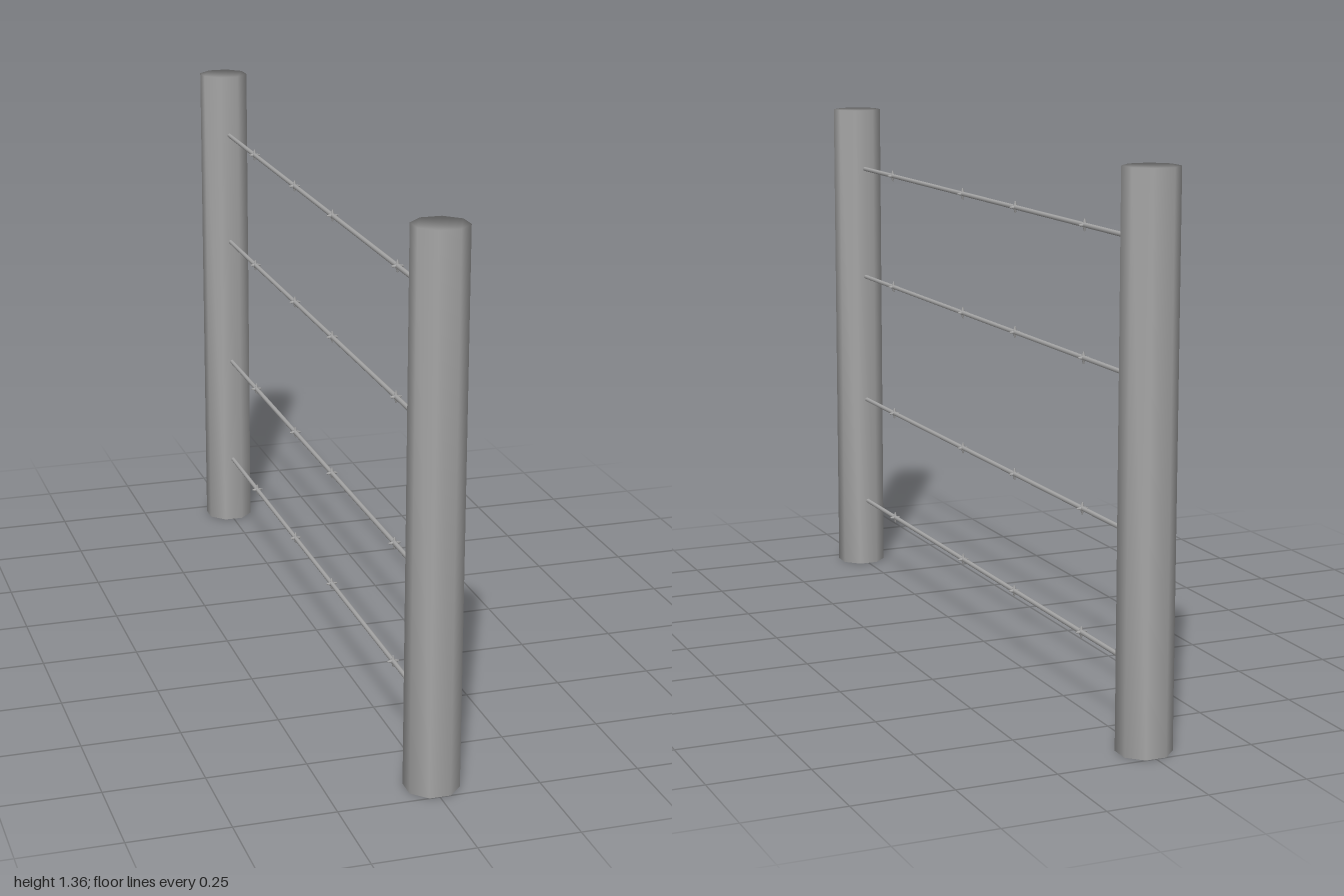
import * as THREE from 'three';
import { mergeVertices } from 'three/addons/utils/BufferGeometryUtils.js';

const material = new THREE.MeshStandardMaterial({ color: 0xa6a6a6 });

function addMesh(parent, name, geometry, x, y, z) {
  const mesh = new THREE.Mesh(geometry, material);
  mesh.name = name;
  mesh.position.set(x, y, z);
  parent.add(mesh);
  return mesh;
}

// Octagonal prism whose sides and caps share their smooth normals
function makePostGeometry(halfWidth, height) {
  const radius = halfWidth / Math.cos(Math.PI / 8);
  const corners = [];
  for (let i = 0; i < 8; i++) {
    const angle = (i + 0.5) * Math.PI / 4;
    corners.push(new THREE.Vector2(radius * Math.cos(angle), radius * Math.sin(angle)));
  }
  const prism = new THREE.ExtrudeGeometry(new THREE.Shape(corners), { depth: height, bevelEnabled: false });
  prism.rotateX(-Math.PI / 2);
  prism.deleteAttribute('normal');
  prism.deleteAttribute('uv');
  const welded = mergeVertices(prism);
  welded.clearGroups();
  welded.computeVertexNormals();
  return welded;
}

export function createModel() {
  const model = new THREE.Group();
  model.name = 'barbedWireFence';

  const height = 1.36;
  const halfWidth = 0.0625;
  const postZ = 1 - halfWidth;

  // Posts at both ends
  const postGeometry = makePostGeometry(halfWidth, height);
  addMesh(model, 'frontPost', postGeometry, 0, 0, postZ);
  addMesh(model, 'backPost', postGeometry, 0, 0, -postZ);

  // Wires strung between the posts, each with four small barbs
  const wireGeometry = new THREE.CylinderGeometry(0.006, 0.006, 2 * (postZ - halfWidth) + 0.02, 8);
  wireGeometry.rotateX(Math.PI / 2);
  const barbGeometry = new THREE.CylinderGeometry(0.0015, 0.006, 0.015, 6);
  barbGeometry.translate(0, 0.0075, 0);

  for (const y of [0.193, 0.503, 0.872, 1.19]) {
    const strand = new THREE.Group();
    strand.name = 'wireStrand';
    strand.position.y = y;
    model.add(strand);
    addMesh(strand, 'wire', wireGeometry, 0, 0, 0);

    // Four spikes around the wire at each barb
    for (const z of [0.65, 0.14, -0.2, -0.6]) {
      for (let i = 0; i < 4; i++) {
        addMesh(strand, 'barb', barbGeometry, 0, 0, z).rotation.z = i * Math.PI / 2;
      }
    }
  }
  return model;
}
